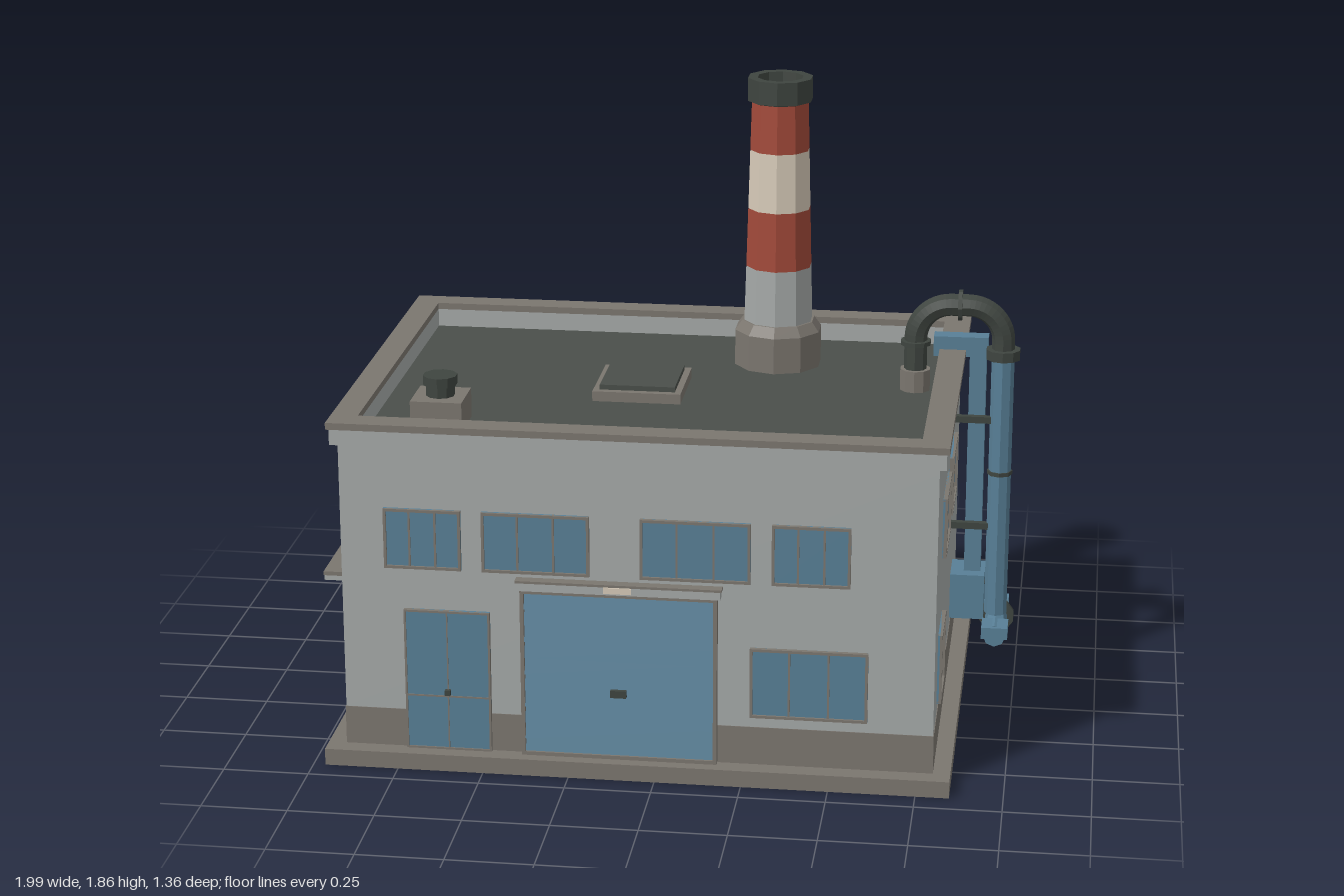
import * as THREE from 'three';

const mat = (name, color) => Object.assign(new THREE.MeshStandardMaterial({ color }), { name });

export function createModel() {
  const root = new THREE.Group();
  root.name = 'factoryBuilding';
  const wall = mat('wallGrey', 0xa5a9a8), stone = mat('stoneBrown', 0x7b766f), roofing = mat('roofDark', 0x4a4f4a);
  const blue = mat('steelBlue', 0x587f96), iron = mat('darkIron', 0x3f4540), red = mat('bandRed', 0xa24a3a);
  const cream = mat('bandCream', 0xd6cab8);

  // Helpers
  const flat = (g) => {
    const f = g.index ? g.toNonIndexed() : g;
    f.computeVertexNormals();
    return f;
  };
  const add = (name, geo, m, parent = root) => {
    const mesh = new THREE.Mesh(geo, m);
    mesh.name = name;
    parent.add(mesh);
    return mesh;
  };
  // Box given by its limits on each axis
  const box = (name, m, x0, x1, y0, y1, z0, z1, parent = root) => {
    const b = add(name, new THREE.BoxGeometry(x1 - x0, y1 - y0, z1 - z0), m, parent);
    b.position.set((x0 + x1) / 2, (y0 + y1) / 2, (z0 + z1) / 2);
    return b;
  };
  // Upright faceted cylinder from y0 to y1
  const post = (name, m, x, z, y0, y1, rb, rt = rb, sides = 10) => {
    const c = add(name, flat(new THREE.CylinderGeometry(rt, rb, y1 - y0, sides)), m);
    c.position.set(x, (y0 + y1) / 2, z);
    return c;
  };
  // Rectangular ring lying flat, hole limits shared by all rings
  const ring = (name, m, x0, x1, z, y0, y1) => {
    const s = new THREE.Shape([[x0, -z], [x1, -z], [x1, z], [x0, z]].map((p) => new THREE.Vector2(...p)));
    s.holes.push(new THREE.Path([[-0.86, -0.575], [-0.86, 0.575], [0.743, 0.575], [0.743, -0.575]].map((p) => new THREE.Vector2(...p))));
    const g = new THREE.ExtrudeGeometry(s, { depth: y1 - y0, bevelEnabled: false });
    add(name, g.rotateX(-Math.PI / 2).translate(0, y0, 0), m);
  };

  // Slab, walls, plinth, roof and parapet
  box('baseSlab', stone, -0.965, 0.847, 0, 0.05, -0.68, 0.68);
  box('plinth', stone, -0.912, 0.797, 0.05, 0.165, -0.626, 0.626);
  box('walls', wall, -0.91, 0.795, 0.165, 0.955, -0.624, 0.624);
  box('roofDeck', roofing, -0.88, 0.765, 0.955, 0.965, -0.6, 0.6);
  ring('parapet', wall, -0.91, 0.795, 0.624, 0.955, 0.972);
  ring('cornice', wall, -0.93, 0.815, 0.644, 0.972, 1.02);
  ring('parapetCap', stone, -0.938, 0.823, 0.652, 1.02, 1.04);

  // Facades: local x runs along the wall, local z points outwards
  const facade = (name, x, z, turn) => {
    const g = new THREE.Group();
    g.name = name;
    g.position.set(x, 0, z);
    g.rotation.y = turn;
    root.add(g);
    return g;
  };
  const front = facade('frontFacade', 0, 0.624, 0);
  const right = facade('eastFacade', 0.795, 0, Math.PI / 2);
  const left = facade('westFacade', -0.91, 0, -Math.PI / 2);
  const back = facade('backFacade', 0, -0.624, Math.PI);

  const frame = (p, x0, x1, y0, y1, t = 0.008, d = 0.013) => {
    box('frameSide', stone, x0, x0 + t, y0, y1, 0, d, p);
    box('frameSide', stone, x1 - t, x1, y0, y1, 0, d, p);
    box('frameTop', stone, x0, x1, y1 - t, y1, 0, d, p);
    box('frameBottom', stone, x0, x1, y0, y0 + t, 0, d, p);
  };
  const win = (p, x0, x1, y0, y1, panes) => {
    box('windowGlass', blue, x0, x1, y0, y1, 0, 0.006, p);
    frame(p, x0, x1, y0, y1);
    for (let i = 1; i < panes; i++) {
      const x = x0 + ((x1 - x0) * i) / panes;
      box('mullion', stone, x - 0.003, x + 0.003, y0, y1, 0, 0.01, p);
    }
  };
  const upper = [0.605, 0.785], lower = [0.198, 0.41];
  for (const [a, b] of [[-0.783, -0.56], [-0.5, -0.19], [-0.045, 0.27], [0.33, 0.553]]) win(front, a, b, ...upper, 3);
  win(front, 0.27, 0.607, ...lower, 3);
  for (const [a, b] of [[-0.355, -0.11], [0.01, 0.26]]) win(right, a, b, ...upper, 2);
  win(right, -0.467, -0.265, ...lower, 2);
  for (const [a, b] of [[-0.485, -0.31], [-0.28, -0.11], [-0.07, 0.1], [0.14, 0.29], [0.33, 0.5]]) win(left, a, b, ...upper, 2);
  win(left, -0.205, 0.15, ...lower, 3);

  // Front double door
  box('doorLeaves', blue, -0.73, -0.48, 0.05, 0.48, 0, 0.01, front);
  frame(front, -0.73, -0.48, 0.05, 0.48, 0.006, 0.014);
  box('doorSeam', stone, -0.607, -0.603, 0.05, 0.48, 0, 0.012, front);
  box('doorRail', stone, -0.73, -0.48, 0.213, 0.218, 0, 0.012, front);
  box('doorKnob', iron, -0.613, -0.597, 0.222, 0.238, 0, 0.024, front);

  // Roller door with sawtooth slats
  const teeth = [new THREE.Vector2(0, 0.05)];
  const slats = 10, pitch = 0.5 / slats;
  for (let i = 0; i < slats; i++) {
    teeth.push(new THREE.Vector2(-0.018, 0.05 + i * pitch), new THREE.Vector2(-0.005, 0.05 + (i + 1) * pitch));
  }
  teeth.push(new THREE.Vector2(0, 0.55));
  const rollerGeo = new THREE.ExtrudeGeometry(new THREE.Shape(teeth), { depth: 0.555, bevelEnabled: false });
  add('rollerDoor', rollerGeo.rotateY(Math.PI / 2).translate(-0.385, 0, 0), blue, front);
  frame(front, -0.39, 0.177, 0.05, 0.56, 0.011, 0.022);
  box('rollerHandle', iron, -0.13, -0.084, 0.243, 0.265, 0, 0.026, front);
  box('rollerLintel', wall, -0.398, 0.187, 0.56, 0.59, 0, 0.03, front);
  box('lintelTrim', stone, -0.402, 0.191, 0.584, 0.591, 0, 0.032, front);
  box('doorLamp', cream, -0.147, -0.067, 0.566, 0.584, 0, 0.036, front);

  // Side door, canopy and meter box
  box('sideDoor', blue, 0.235, 0.465, 0.05, 0.5, 0, 0.01, left);
  frame(left, 0.235, 0.465, 0.05, 0.5, 0.008, 0.015);
  box('sideDoorKnob', iron, 0.255, 0.27, 0.24, 0.255, 0, 0.024, left);
  box('canopy', wall, 0.21, 0.478, 0.497, 0.512, 0, 0.088, left);
  box('canopyTop', stone, 0.208, 0.48, 0.512, 0.524, 0, 0.09, left);
  box('meterBox', stone, -0.47, -0.345, 0.22, 0.35, 0, 0.04, left);
  box('meterPanel', wall, -0.455, -0.36, 0.235, 0.335, 0.036, 0.044, left);
  box('meterDial', iron, -0.43, -0.385, 0.285, 0.315, 0.04, 0.048, left);
  box('meterConduit', iron, -0.413, -0.4, 0.05, 0.22, 0.004, 0.02, left);

  // Back panel joints
  for (const f of [0.25, 0.5, 0.75]) {
    const x = -0.795 + 1.705 * f;
    box('panelJoint', stone, x - 0.004, x + 0.004, 0.165, 0.97, 0, 0.003, back);
  }
  box('panelJoint', stone, -0.795, 0.91, 0.546, 0.554, 0, 0.003, back);

  // Drainpipe
  post('drainpipe', blue, -0.84, -0.645, 0.06, 0.85, 0.011, 0.011, 8);
  for (const [y0, y1] of [[0.055, 0.085], [0.822, 0.852]]) box('drainEnd', blue, -0.857, -0.823, y0, y1, -0.662, -0.624);
  box('drainClip', iron, -0.854, -0.826, 0.458, 0.472, -0.658, -0.624);

  // Chimney: footing, tapering bands and hollow cap
  const cx = 0.247, cz = -0.333;
  post('chimneyFooting', stone, cx, cz, 0.96, 1.075, 0.134);
  post('chimneyFootingTop', stone, cx, cz, 1.075, 1.105, 0.134, 0.112);
  const radius = (y) => 0.106 - ((y - 1.1) / 0.68) * 0.019;
  const bands = [[1.1, 1.275, wall], [1.275, 1.455, red], [1.455, 1.635, cream], [1.635, 1.79, red]];
  for (const [y0, y1, m] of bands) post('chimneyBand', m, cx, cz, y0, y1, radius(y0), radius(y1));
  const rim = [[0.084, 1.78], [0.099, 1.785], [0.099, 1.855], [0.07, 1.855], [0.066, 1.793], [0, 1.793]];
  const rimGeo = new THREE.LatheGeometry(rim.map((p) => new THREE.Vector2(...p)), 10);
  add('chimneyCap', flat(rimGeo), iron).position.set(cx, 0, cz);

  // Roof vent and hatch
  box('ventBase', stone, -0.733, -0.583, 0.96, 1.052, 0.315, 0.465);
  post('ventStack', iron, -0.658, 0.39, 1.05, 1.085, 0.042);
  post('ventCap', iron, -0.658, 0.39, 1.085, 1.113, 0.05);
  box('hatchFrame', stone, -0.257, 0.005, 0.96, 0.995, -0.139, 0.129);
  box('hatchLid', roofing, -0.238, -0.014, 0.995, 1.01, -0.118, 0.108);

  // Dark gooseneck pipe
  const pz = -0.113, px = 0.94, lx = 0.68, bend = 0.105, top = 1.23;
  const path = new THREE.CurvePath();
  const v = (x, y) => new THREE.Vector3(x, y, pz);
  const corner = (a, c, b) => path.add(new THREE.CubicBezierCurve3(a, a.clone().lerp(c, 0.552), b.clone().lerp(c, 0.552), b));
  path.add(new THREE.LineCurve3(v(lx, 1.0), v(lx, top - bend)));
  corner(v(lx, top - bend), v(lx, top), v(lx + bend, top));
  path.add(new THREE.LineCurve3(v(lx + bend, top), v(px - bend, top)));
  corner(v(px - bend, top), v(px, top), v(px, top - bend));
  path.add(new THREE.LineCurve3(v(px, top - bend), v(px, 1.08)));
  add('gooseneck', flat(new THREE.TubeGeometry(path, 40, 0.034, 8, false)), iron);
  post('gooseneckSocket', stone, lx, pz, 0.96, 1.03, 0.046);
  post('gooseneckFlange', iron, lx, pz, 1.105, 1.118, 0.046);
  post('gooseneckFlange', iron, px, pz, 1.07, 1.1, 0.052);
  const mid = post('gooseneckFlange', iron, 0, 0, 0, 0.012, 0.046);
  mid.rotation.z = Math.PI / 2;
  mid.position.set(0.81, top, pz);

  // Blue riser with brackets
  post('riser', blue, px, pz, 0.262, 1.075, 0.034, 0.034, 8);
  post('riserJoint', iron, px, pz, 0.708, 0.72, 0.038, 0.038, 8);
  for (const y of [0.54, 0.877]) box('riserBracket', iron, 0.795, 0.915, y - 0.01, y + 0.01, pz - 0.01, pz + 0.01);

  // Low pipe run, flange and pump box
  const run = post('lowPipe', blue, 0, 0, 0, 0.285, 0.034, 0.034, 8);
  run.rotation.x = Math.PI / 2;
  run.position.set(px, 0.195, -0.222);
  box('lowPipeEnd', blue, 0.9, 0.98, 0.19, 0.226, -0.15, -0.067);
  const disc = post('lowPipeFlange', iron, 0, 0, 0, 0.014, 0.055);
  disc.rotation.x = Math.PI / 2;
  disc.position.set(px, 0.195, -0.26);
  box('pumpBox', blue, 0.795, 0.9, 0.185, 0.328, -0.375, -0.24);
  box('pumpOutlet', blue, 0.89, 0.975, 0.165, 0.225, -0.365, -0.295);
  const knob = post('pumpKnob', iron, 0, 0, 0, 0.016, 0.013);
  knob.rotation.z = Math.PI / 2;
  knob.position.set(0.903, 0.285, -0.305);

  // Square duct rising over the parapet
  box('duct', blue, 0.835, 0.886, 0.325, 1.02, -0.33, -0.28);
  box('ductElbow', blue, 0.725, 0.89, 1.018, 1.08, -0.333, -0.28);

  return root;
}
